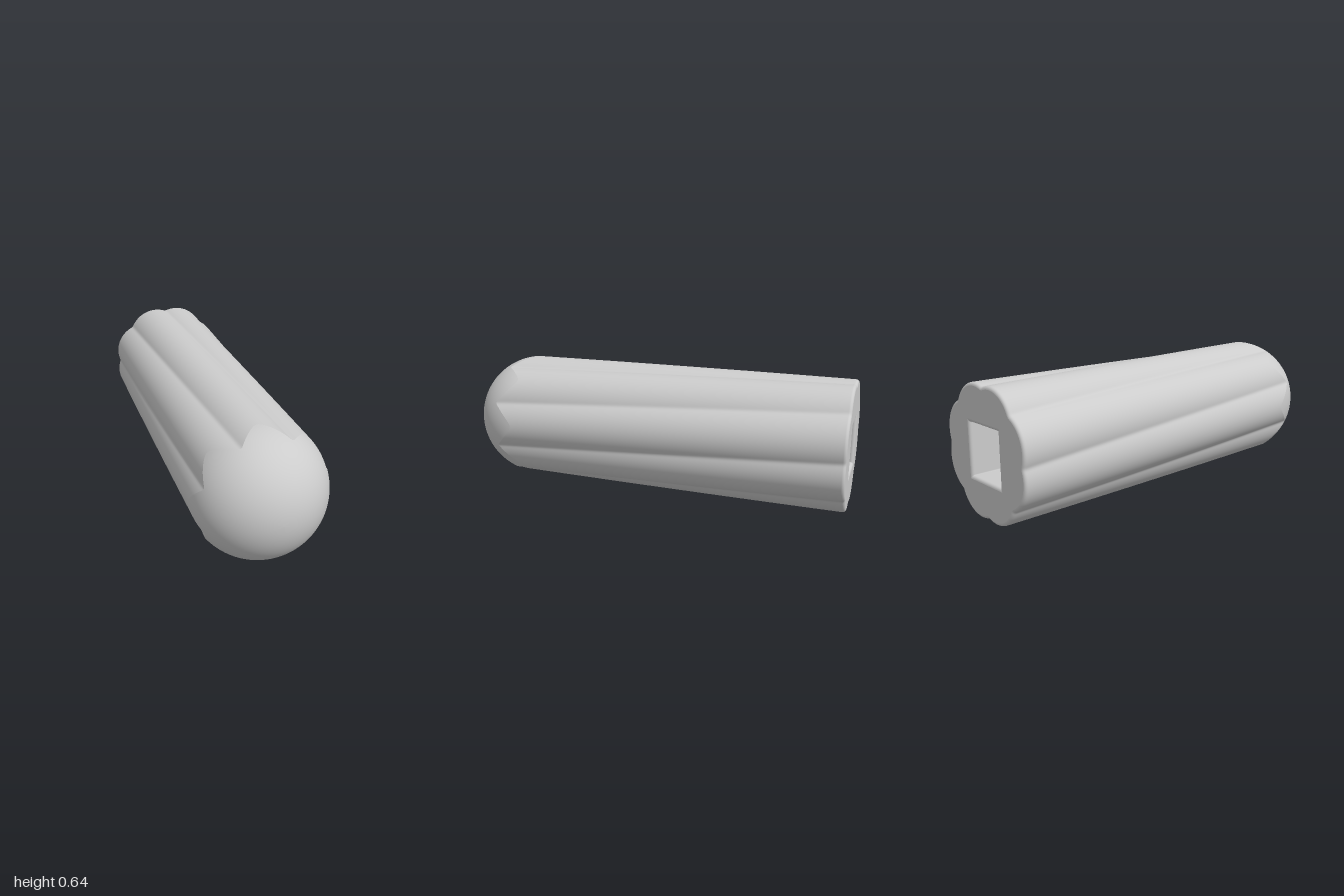
import * as THREE from 'three';

const N = 320;                       // samples around (multiple of 16)
const CY = 0.322;                    // height of the long axis
const LOBES = 8, STEP = Math.PI * 2 / LOBES;
const LOBE_C = 0.16, LOBE_A = 0.1615; // lobe circle: distance from axis, radius
const DOME_R = 0.322, DOME_Z = 0.678;
const FILLET = 0.015, BACK = -1;
const HOLE_W = 0.115, HOLE_H = 0.125, HOLE_END = 0.2;

// Angle of a flute at depth z: the flutes spiral gently along the grip
const twist = z => THREE.MathUtils.degToRad(22.5 - 12 * (z - BACK));

// Scalloped radius, slightly rounded in the valleys
function lobeRadius(phi) {
  const at = a => LOBE_C * Math.cos(a) + Math.sqrt(LOBE_A ** 2 - (LOBE_C * Math.sin(a)) ** 2);
  const a = Math.abs(phi - Math.round(phi / STEP) * STEP);
  const near = at(a), far = at(STEP - a), k = 0.008;
  const h = Math.max(k - Math.abs(near - far), 0) / k;
  return Math.max(near, far) + h * h * k * 0.25;
}

// Where the flute runs out into the dome
const edgeZ = phi => DOME_Z + Math.sqrt(Math.max(0, DOME_R ** 2 - lobeRadius(phi) ** 2));

function ring(pointAt) {
  return Array.from({ length: N }, (_, j) => pointAt(j / N * Math.PI * 2));
}

function polar(r, phi, z) {
  const t = phi + twist(z);
  return [r * Math.cos(t), CY + r * Math.sin(t), z];
}

// Rectangular ring with corners falling on samples
function rectRing(grow, z) {
  return ring(phi => {
    const t = phi + twist(BACK), c = Math.cos(t), s = Math.sin(t);
    const m = Math.max(Math.abs(c), Math.abs(s));
    return [c / m * (HOLE_W + grow), CY + s / m * (HOLE_H + grow), z];
  });
}

// Skin closed rings in order
function loft(name, rings) {
  const index = [];
  for (let i = 0; i < rings.length - 1; i++) {
    for (let j = 0; j < N; j++) {
      const k = (j + 1) % N, a = i * N + j, b = i * N + k;
      index.push(a, b, a + N, b, b + N, a + N);
    }
  }
  const geo = new THREE.BufferGeometry();
  geo.setAttribute('position', new THREE.Float32BufferAttribute(rings.flat(2), 3));
  geo.setIndex(index);
  geo.computeVertexNormals();
  const mesh = new THREE.Mesh(geo, new THREE.MeshStandardMaterial({ color: 0xcccccc }));
  mesh.name = name;
  return mesh;
}

export function createModel() {
  const group = new THREE.Group();
  group.name = 'flutedHandle';
  const steps = n => Array.from({ length: n + 1 }, (_, i) => i / n);

  // Fluted grip with a rounded rear rim
  const rim = steps(5).map(t => {
    const a = t * Math.PI / 2;
    return ring(phi => polar(lobeRadius(phi) - FILLET * (1 - Math.sin(a)), phi,
      BACK + FILLET * (1 - Math.cos(a))));
  });
  const side = steps(48).slice(1).map(t => ring(phi => {
    const z0 = BACK + FILLET;
    return polar(lobeRadius(phi), phi, z0 + (edgeZ(phi) - z0) * t);
  }));
  group.add(loft('grip', [...rim, ...side]));

  // Spherical front end, starting at the scalloped run-out
  group.add(loft('dome', steps(32).map(t => ring(phi => {
    const start = Math.acos((edgeZ(phi) - DOME_Z) / DOME_R);
    const a = start * (1 - t), angle = phi + twist(edgeZ(phi));
    const r = DOME_R * Math.sin(a);
    return [r * Math.cos(angle), CY + r * Math.sin(angle), DOME_Z + DOME_R * Math.cos(a)];
  }))));

  // Flat rear face around the socket
  group.add(loft('rearFace', [rectRing(FILLET, BACK), rim[0]]));

  // Rectangular socket with a rounded mouth
  const mouth = steps(5).map(t => {
    const a = t * Math.PI / 2;
    return rectRing(FILLET * (1 - Math.cos(a)), BACK + FILLET * (1 - Math.sin(a)));
  });
  group.add(loft('socketWall', [rectRing(0, HOLE_END), ...mouth]));
  group.add(loft('socketFloor', [ring(() => [0, CY, HOLE_END]), rectRing(0, HOLE_END)]));

  return group;
}
